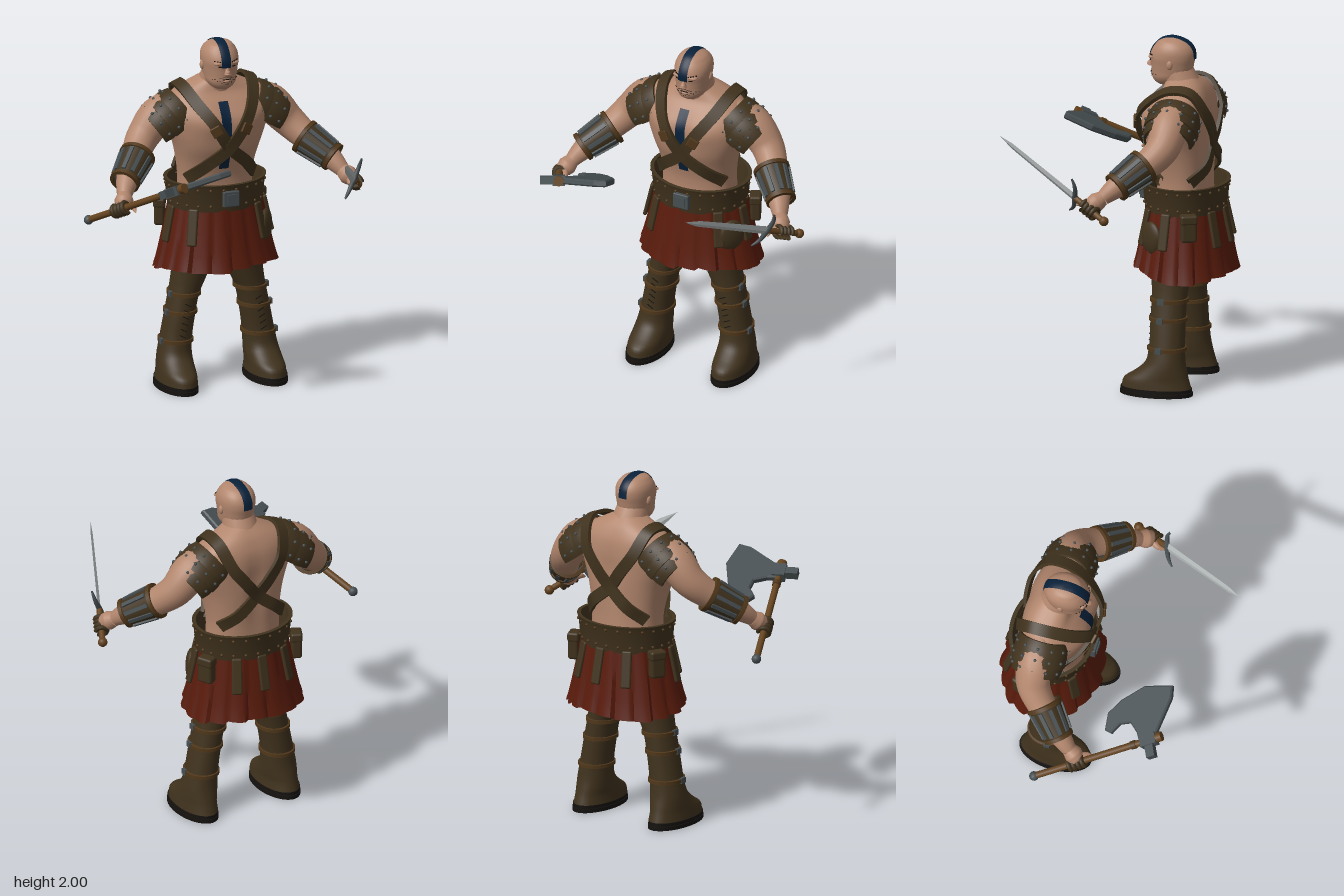
import * as THREE from 'three';
import { mergeVertices, toCreasedNormals } from 'three/addons/utils/BufferGeometryUtils.js';
import { RoundedBoxGeometry } from 'three/addons/geometries/RoundedBoxGeometry.js';

const V = (x, y, z) => new THREE.Vector3(x, y, z);
const CX = 0.022; // centre line of the body

function material(name, color, double) {
  const m = new THREE.MeshStandardMaterial({ color, side: double ? THREE.DoubleSide : THREE.FrontSide });
  m.name = name;
  return m;
}

// Grid surface: fn(u, v) gives a point, u runs around and v along
function surf(nu, nv, fn) {
  const pos = [], idx = [], w = nu + 1;
  for (let j = 0; j <= nv; j++) for (let i = 0; i <= nu; i++) pos.push(...fn(i / nu, j / nv).toArray());
  for (let j = 0; j < nv; j++) for (let i = 0; i < nu; i++) {
    const a = j * w + i;
    idx.push(a, a + 1, a + w, a + 1, a + w + 1, a + w);
  }
  let g = new THREE.BufferGeometry();
  g.setAttribute('position', new THREE.Float32BufferAttribute(pos, 3));
  g.setIndex(idx);
  g = mergeVertices(g, 1e-5);
  g.computeVertexNormals();
  return g;
}

// Cross-section rows [y, x, z, radiusX, radiusZ], read smoothly at any height
function sections(rows) {
  const f = new THREE.CubicInterpolant(rows.map(r => r[0]), rows.flatMap(r => r.slice(1)), 4);
  return y => Array.from(f.evaluate(y));
}
const sgnPow = (a, p) => Math.sign(a) * Math.abs(a) ** p;
function loft(rows, p = 2, nu = 36, warp = q => q) {
  const at = sections(rows), n = rows.length - 1, k = 4;
  return surf(nu, n * k, (u, v) => {
    const t = Math.min(v * n, n - 1e-6), i = Math.floor(t);
    const y = THREE.MathUtils.lerp(rows[i][0], rows[i + 1][0], t - i);
    const [x, z, rx, rz] = at(y), a = u * 2 * Math.PI;
    return warp(V(x + rx * sgnPow(Math.sin(a), 2 / p), y, z + rz * sgnPow(Math.cos(a), 2 / p)), Math.cos(a));
  });
}

// Tapered round limb through points
function limb(pts, radii) {
  const c = new THREE.CatmullRomCurve3(pts), ref = V(0.1, 0.6, 0.8), n = radii.length - 1;
  return surf(20, n * 5, (u, v) => {
    const T = c.getTangent(v), B = T.clone().cross(ref).normalize(), N = B.clone().cross(T);
    const i = Math.min(Math.floor(v * n), n - 1), r = THREE.MathUtils.lerp(radii[i], radii[i + 1], v * n - i);
    return c.getPoint(v).addScaledVector(N, r * Math.cos(u * 2 * Math.PI)).addScaledVector(B, r * Math.sin(u * 2 * Math.PI));
  });
}

const torsoRows = [
  [0.82, CX, -0.32, 0.02, 0.02], [0.9, CX, -0.32, 0.2, 0.14], [1.05, CX, -0.335, 0.215, 0.15], [1.2, CX, -0.335, 0.212, 0.15],
  [1.3, CX, -0.325, 0.225, 0.165], [1.4, CX, -0.31, 0.25, 0.185], [1.5, CX, -0.31, 0.285, 0.185], [1.58, CX, -0.315, 0.3, 0.18],
  [1.65, CX, -0.33, 0.28, 0.155], [1.7, CX, -0.34, 0.235, 0.125], [1.74, CX, -0.335, 0.16, 0.105], [1.78, CX, -0.32, 0.08, 0.08]];
const headRows = [
  [1.73, CX, -0.23, 0.045, 0.05], [1.745, CX, -0.24, 0.065, 0.08], [1.775, CX, -0.248, 0.085, 0.102], [1.81, CX, -0.259, 0.092, 0.116],
  [1.85, CX, -0.262, 0.098, 0.122], [1.89, CX, -0.263, 0.103, 0.128], [1.93, CX, -0.267, 0.1, 0.118],
  [1.965, CX, -0.267, 0.082, 0.093], [1.988, CX, -0.262, 0.052, 0.058], [2, CX, -0.26, 0.001, 0.001]];
const legRows = s => [
  [0.04, 0.266, -0.245, 0.104, 0.2], [0.09, 0.265, -0.245, 0.1, 0.185], [0.13, 0.262, -0.27, 0.099, 0.15], [0.18, 0.258, -0.293, 0.096, 0.116],
  [0.25, 0.25, -0.3, 0.09, 0.103], [0.4, 0.226, -0.3, 0.085, 0.1], [0.54, 0.197, -0.3, 0.086, 0.1], [0.6, 0.178, -0.3, 0.095, 0.104],
  [0.75, 0.14, -0.3, 0.115, 0.12], [0.95, 0.115, -0.32, 0.115, 0.14]].map(([y, x, ...r]) => [y, CX + s * x, ...r]);

// Chest muscles and spine groove
const gauss = (d, w) => Math.exp(-((d / w) ** 2));
const bulge = (x, y, front) => front > 0
  ? 0.022 * gauss(Math.abs(x - CX) - 0.11, 0.09) * gauss(y - 1.54, 0.08) : 0.02 * gauss(x - CX, 0.05) * gauss(y - 1.42, 0.2);
const torsoAt = sections(torsoRows), headAt = sections(headRows);
function onBody(x, y, side, off, at = torsoAt, p = 2.4) {
  const [cx, cz, rx, rz] = at(y), k = Math.min(1, Math.abs(x - cx) / rx);
  const extra = at === torsoAt ? bulge(x, y, side) : 0;
  return V(x, y, cz + side * (rz * (1 - k ** p) ** (1 / p) + off) + extra);
}
const onHead = (x, y, off) => onBody(CX + x, y, 1, off, headAt, 2.1);

export function createModel() {
  const model = new THREE.Group();
  const skin = material('skin', 0xb2866d, true), leather = material('leather', 0x40321d, true);
  const cloth = material('red cloth', 0x591b0b, true), trim = material('bronze trim', 0x50371a, true);
  const paint = material('blue paint', 0x08213a, true), steel = material('dark steel', 0x474f52);
  const silver = material('blade silver', 0xb0b5b5), wood = material('wood', 0x64431f);
  const black = material('black', 0x15120f);
  const add = (name, geo, mat, parent = model) => {
    const m = new THREE.Mesh(geo, mat);
    m.name = name;
    parent.add(m);
    return m;
  };
  const put = (name, geo, mat, pos, ry = 0, rz = 0) => {
    const m = add(name, geo, mat);
    m.position.copy(pos);
    m.rotation.set(0, ry, rz);
    return m;
  };
  const frame = (name, origin, X, Y) => {
    const g = new THREE.Group(), Z = X.clone().cross(Y).normalize();
    g.name = name;
    g.quaternion.setFromRotationMatrix(new THREE.Matrix4().makeBasis(Y.clone().cross(Z), Y, Z));
    g.position.copy(origin);
    model.add(g);
    return g;
  };
  const box = (x, y, z) => new THREE.BoxGeometry(x, y, z);
  const ball = r => new THREE.SphereGeometry(r, 16, 12);
  const stud = new THREE.SphereGeometry(0.009, 8, 6);

  // Torso, neck and head
  add('torso', loft(torsoRows, 2.4, 64, (q, c) => { q.z += bulge(q.x, q.y, c) * Math.min(1, Math.abs(c) * 2); return q; }), skin);
  add('neck', limb([V(CX, 1.62, -0.35), V(CX, 1.72, -0.32), V(CX, 1.82, -0.28)], [0.13, 0.105, 0.088]), skin);
  add('head', loft(headRows, 2.1), skin);
  const nose = put('nose', new THREE.ConeGeometry(0.02, 0.06, 12), skin, V(CX, 1.858, -0.138));
  nose.rotation.x = -0.2;
  put('noseTip', ball(0.015), skin, V(CX, 1.838, -0.13));
  put('mouth', box(0.045, 0.004, 0.006), black, onHead(0, 1.796, 0));
  put('lowerLip', ball(0.02), skin, onHead(0, 1.785, -0.014)).scale.set(1.3, 0.5, 1);
  for (const s of [-1, 1]) {
    put('ear', ball(0.024), skin, V(CX + s * 0.1, 1.858, -0.272)).scale.set(0.5, 1.1, 0.75);
    put('eye', box(0.022, 0.006, 0.005), black, onHead(s * 0.04, 1.872, 0), s * 0.35);
    put('browRidge', ball(0.03), skin, onHead(s * 0.042, 1.89, -0.012)).scale.set(1.1, 0.35, 0.7);
    for (let i = 0; i < 4; i++) put('eyebrow', box(0.008, 0.005, 0.005), black, onHead(s * (0.03 + i * 0.012), 1.898 + i * 0.002, 0.003), s * 0.35);
    for (let i = 0; i < 7; i++) {
      const x = s * (0.006 + i * 0.011);
      put('stubble', box(0.005, 0.004, 0.004), black, onHead(x, 1.768 + (i % 2) * 0.008 + i * 0.004, 0), s * 0.7 * i / 7);
      if (i < 4) put('stubble', box(0.005, 0.004, 0.004), black, onHead(x, 1.811 - i * 0.003, 0), s * 0.2);
    }
    add('trapezius', limb([V(CX + s * 0.03, 1.73, -0.345), V(CX + s * 0.13, 1.675, -0.345), V(CX + s * 0.26, 1.62, -0.34)], [0.06, 0.056, 0.07]), skin);
  }

  // Painted stripes on head and chest
  const crest = new THREE.CatmullRomCurve3([[1.865, -0.137], [1.9, -0.136], [1.935, -0.15], [1.965, -0.174], [1.988, -0.204], [2, -0.26],
    [1.988, -0.32], [1.965, -0.36], [1.93, -0.385], [1.88, -0.392]].map(([y, z]) => V(0, y, z)));
  const core = V(0, 1.87, -0.263);
  add('headStripe', surf(6, 40, (u, v) => {
    const x = (u - 0.5) * 0.056, q = crest.getPoint(v).sub(core).multiplyScalar(1.035 - x * x * 42).add(core);
    return q.setX(CX - 0.006 + x).setY(Math.min(q.y, 2.002));
  }), paint);
  add('chestStripe', surf(4, 30, (u, v) => onBody(CX - 0.012 + (u - 0.5) * 0.058, 1.27 + v * 0.39, 1, 0.006)), paint);

  // Crossed harness, front and back
  for (const s of [-1, 1]) {
    const P = (x, y, side) => onBody(CX + s * x, y, side, 0.02);
    const path = new THREE.CatmullRomCurve3([P(-0.2, 1.21, 1), P(-0.12, 1.3, 1), P(0, 1.41, 1), P(0.09, 1.55, 1), P(0.165, 1.66, 1),
      V(CX + s * 0.205, 1.735, -0.31), V(CX + s * 0.205, 1.725, -0.42), P(0.16, 1.6, -1), P(0.08, 1.49, -1), P(0, 1.39, -1), P(-0.12, 1.29, -1), P(-0.2, 1.21, -1)]);
    const corners = [[-1, 0], [1, 0], [1, 1], [-1, 1], [-1, 0]];
    add('harnessStrap', toCreasedNormals(surf(4, 90, (u, v) => {
      const q = path.getPoint(v), T = path.getTangent(v), [a, b] = corners[Math.round(u * 4)];
      const N = q.clone().sub(V(CX + 0.7 * (q.x - CX), Math.min(q.y, 1.58), -0.325)).normalize();
      const S = T.cross(N).normalize();
      return q.addScaledVector(S, a * 0.034).addScaledVector(N, b * 0.02 - 0.01 + (s > 0 ? 0.008 : 0));
    }), 0.7), leather);
    put('strapBuckle', new RoundedBoxGeometry(0.06, 0.06, 0.018, 2, 0.005), trim, P(0.09, 1.52, 1).add(V(0, 0, 0.02)), s * 0.25, -s * 0.5);
  }

  // Shoulder pads, arms, bracers and hands
  const grips = { 1: [V(0.731, 1.163, 0.018), V(-0.35, 0.345, 0.7).normalize()], '-1': [V(-0.678, 1.162, 0.014), V(0.315, 0.33, 0.63).normalize()] };
  for (const s of [-1, 1]) {
    const M = (x, y, z) => V(CX + s * x, y, z);
    const wrist = M(0.655, 1.22, -0.045), [grip, axis] = grips[s];
    add('arm', limb([M(0.24, 1.6, -0.335), M(0.34, 1.56, -0.34), M(0.43, 1.465, -0.325), M(0.5, 1.39, -0.26), M(0.575, 1.32, -0.165), M(0.63, 1.255, -0.085), wrist],
      [0.115, 0.11, 0.094, 0.082, 0.074, 0.055, 0.042]), skin);
    const inner = grip.clone().add(V(-s * 0.02, 0.02, -0.005));
    add('palm', limb([wrist, wrist.clone().lerp(inner, 0.55), inner, grip.clone().add(V(-s * 0.01, 0, 0.035))], [0.042, 0.054, 0.046, 0.008]), skin);
    for (let i = 0; i < 4; i++) {
      const f = add('glovedFinger', new THREE.TorusGeometry(0.031, 0.0135, 8, 18, 5.2), leather);
      f.position.copy(grip).addScaledVector(axis, (i - 1.5) * 0.027);
      f.quaternion.setFromUnitVectors(V(0, 0, 1), axis);
    }
    add('thumb', limb([inner, inner.clone().add(V(-s * 0.035, 0, 0.05)), inner.clone().add(V(-s * 0.035, -0.015, 0.095))], [0.025, 0.017, 0.006]), skin);

    const lower = M(0.627, 1.277, -0.112), upper = M(0.485, 1.392, -0.255);
    const bracer = frame('bracer', lower, V(s, 0, -1), upper.clone().sub(lower).normalize());
    const tube = (name, pts, mat) => add(name, toCreasedNormals(new THREE.LatheGeometry(pts.map(p => new THREE.Vector2(...p)), 28), 0.6), mat, bracer);
    tube('bracerCuff', [[0.066, 0], [0.077, 0], [0.097, 0.215], [0.085, 0.215]], leather);
    for (const [y, r] of [[0.008, 0.078], [0.203, 0.095]]) tube('bracerTrim', [[r - 0.01, y - 0.014], [r + 0.008, y - 0.011], [r + 0.008, y + 0.011], [r - 0.01, y + 0.014]], trim);
    for (let i = 0; i < 10; i++) {
      const a = i * Math.PI / 5, plate = add('bracerPlate', box(0.022, 0.155, 0.012), steel, bracer);
      plate.position.set(0.09 * Math.sin(a), 0.106, 0.09 * Math.cos(a));
      plate.rotation.set(0.085, a, 0, 'YXZ');
    }

    const pad = frame('shoulderPad', M(0.19, 1.6, -0.335), V(s * 0.57, 0.82, 0), V(s * 0.82, -0.57, 0).normalize());
    const arc = 3.7, start = Math.PI / 2 - arc / 2, len = 0.08;
    [[0, 0.138, 0.152], [0.065, 0.146, 0.154], [0.13, 0.147, 0.136]].forEach(([y, r0, r1]) => {
      const pts = [[r0 - 0.012, y], [r0, y], [(r0 + r1) / 2 + 0.006, y + len / 2], [r1, y + len], [r1 - 0.014, y + len]].map(p => new THREE.Vector2(...p));
      add('padPlate', toCreasedNormals(new THREE.LatheGeometry(pts, 30, start, arc), 0.6), leather, pad);
      for (let i = 0; i < 7; i++) {
        const a = start + arc * (i + 0.5) / 7, r = (r0 + r1) / 2 + 0.008;
        add('padStud', stud, steel, pad).position.set(r * Math.sin(a), y + len / 2, r * Math.cos(a));
      }
    });
  }

  // Belt and pleated skirt
  const oval = (a, y, rx, rz) => V(CX + 0.004 + rx * Math.sin(a), y, -0.342 + rz * Math.cos(a));
  const facing = a => Math.atan2(Math.sin(a) / 0.3, Math.cos(a) / 0.25);
  const beltProfile = [[0.25, 1.035], [0.272, 1.03], [0.276, 1.06], [0.286, 1.165], [0.294, 1.188], [0.272, 1.188], [0.25, 1.035]];
  add('belt', toCreasedNormals(surf(48, 6, (u, v) => {
    const [r, y] = beltProfile[Math.round(v * 6)];
    return oval(u * 2 * Math.PI, y, r, r - 0.047);
  }), 0.6), leather);
  put('beltBuckle', new RoundedBoxGeometry(0.095, 0.09, 0.03, 2, 0.006), steel, V(0.028, 1.11, -0.1));
  put('bucklePlate', box(0.06, 0.055, 0.02), steel, V(0.028, 1.11, -0.088));
  for (let i = 0; i < 24; i++) for (const [y, r] of [[1.065, 0.277], [1.16, 0.286]]) {
    put('beltStud', stud, trim, oval((i + 0.5) * Math.PI / 12, y, r, r - 0.047));
  }
  const panels = 18;
  add('skirt', toCreasedNormals(surf(panels * 6, 8, (u, v) => {
    const a = u * 2 * Math.PI, p = u * panels, k = Math.floor(p + 1e-6) % panels, f = p - Math.floor(p + 1e-6);
    const bottom = 0.668 + 0.035 * Math.max(0, Math.cos(a)) + 0.014 * Math.sin(k * 7.3);
    const r = THREE.MathUtils.lerp(0.345, 0.262, v ** 0.85) + (1 - v * 0.6) * 0.02 * (f + 0.4 * Math.sin(f * Math.PI)) * (k % 2 ? 1 : 0.6);
    return oval(a, THREE.MathUtils.lerp(bottom, 1.06, v), r, r - THREE.MathUtils.lerp(0.068, 0.047, v));
  }), 0.8), cloth);

  // Hanging straps and pouches
  for (const deg of [-42, 42, -78, 80, 148, -148, 178]) {
    const a = deg * Math.PI / 180, t = put('hangingStrap', new RoundedBoxGeometry(0.058, 0.21, 0.022, 3, 0.01), leather, oval(a, 0.945, 0.306, 0.247));
    t.rotation.set(-0.22, facing(a), 0, 'YXZ');
  }
  for (const s of [-1, 1]) {
    const a = s * 1.95, pos = oval(a, 0.975, 0.315, 0.265);
    put('pouch', new RoundedBoxGeometry(0.09, 0.15, 0.06, 3, 0.016), leather, pos, facing(a));
    put('pouchFlap', new RoundedBoxGeometry(0.096, 0.055, 0.068, 3, 0.014), leather, pos.clone().setY(1.03), facing(a));
  }
  const flask = put('roundPouch', ball(0.08), leather, oval(1.02, 0.895, 0.3, 0.245), facing(1.02));
  flask.scale.set(1, 1.2, 0.4);

  // Legs, boots, soles, bands and laces
  for (const s of [-1, 1]) {
    const rows = legRows(s), at = sections(rows);
    add('bootAndLeg', loft(rows, 2.1), leather);
    for (const [y, h, r] of [[0.011, 0.022, 0.11], [0.033, 0.018, 0.108]]) {
      put('sole', new THREE.CylinderGeometry(r, r, h, 40), black, V(CX + s * 0.268, y, -0.245)).scale.z = 1.9;
    }
    for (const y of [0.265, 0.43, 0.535]) {
      const ring = [[-0.005, -0.013], [0.01, -0.01], [0.01, 0.01], [-0.005, 0.013]];
      add('bootBand', toCreasedNormals(surf(36, 3, (u, v) => {
        const [x, z, rx, rz] = at(y), [o, dy] = ring[Math.round(v * 3)], a = u * 2 * Math.PI;
        return V(x + (rx + o) * Math.sin(a), y + dy, z + (rz + o) * Math.cos(a));
      }), 0.6), trim);
      const [x, z, rx] = at(y);
      put('bootBuckle', box(0.016, 0.032, 0.036), steel, V(x + s * (rx + 0.005), y, z + 0.025));
    }
    for (let i = 0; i < 6; i++) {
      const y = 0.3 + i * 0.036, [x, z, , rz] = at(y);
      put('lace', box(0.04, 0.004, 0.005), black, V(x, y, z + rz + 0.001), 0, s * 0.5);
    }
  }

  // Sword in the left hand
  const rod = (a, b, r) => new THREE.CylinderGeometry(r, r, b - a, 16).translate(0, (a + b) / 2, 0);
  const sword = frame('sword', V(0.78, 1.115, -0.08), V(0.11, 0.2, -0.04), V(-0.35, 0.345, 0.7).normalize());
  add('pommel', ball(0.027), wood, sword);
  add('grip', rod(0, 0.235, 0.017), wood, sword);
  add('guard', limb([V(-0.125, 0.275, 0), V(-0.08, 0.247, 0), V(0, 0.24, 0), V(0.08, 0.247, 0), V(0.125, 0.275, 0)], [0.005, 0.011, 0.016, 0.011, 0.005]), steel, sword);
  const blade = new THREE.CylinderGeometry(0.022, 0.03, 0.52, 4).translate(0, 0.5, 0).scale(1, 1, 0.28);
  const point = new THREE.ConeGeometry(0.022, 0.105, 4).translate(0, 0.8125, 0).scale(1, 1, 0.28);
  add('blade', toCreasedNormals(blade, 0.1), silver, sword);
  add('bladePoint', toCreasedNormals(point, 0.1), silver, sword);

  // Axe in the right hand
  const axe = frame('axe', V(-0.485, 1.365, 0.4), V(0.896, 0, -0.444), V(0.404, 0.423, 0.808).normalize());
  add('axeHandle', rod(-0.743, 0.02, 0.019), wood, axe);
  add('axeKnob', ball(0.027), steel, axe).position.y = -0.743;
  add('handleEnd', rod(0.01, 0.055, 0.028), wood, axe);
  for (const y of [-0.12, -0.44]) add('handleRing', rod(y - 0.015, y + 0.015, 0.024), trim, axe);
  const edge = [[0.0, -0.08], [0.06, -0.085], [0.13, -0.114], [0.141, -0.176], [0.103, -0.24], [0.13, -0.272], [0.224, -0.236],
    [0.275, -0.14], [0.312, 0.011], [0.266, 0.175], [0.197, 0.156], [0.025, 0.03], [0, 0.03]].map(p => new THREE.Vector2(...p));
  add('axeBlade', new THREE.ExtrudeGeometry(new THREE.Shape(edge), { depth: 0.022, bevelThickness: 0.008, bevelSize: 0.008, bevelOffset: -0.008, bevelSegments: 1 }).translate(0, 0, -0.011), steel, axe);
  add('axeSocket', box(0.07, 0.095, 0.055), steel, axe).position.y = -0.025;
  add('axePoll', box(0.08, 0.05, 0.045), steel, axe).position.set(-0.065, -0.025, 0);
  return model;
}
